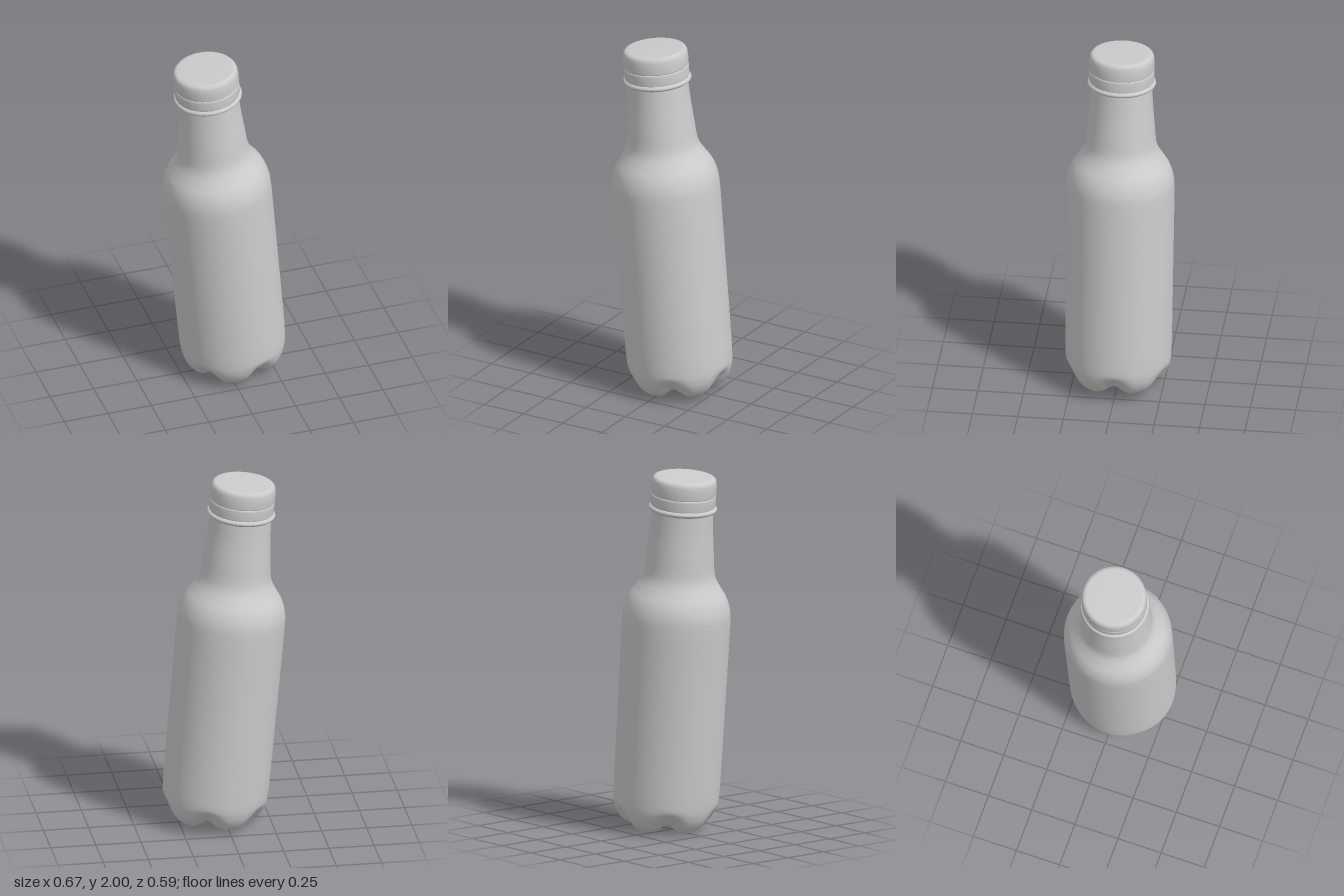
import * as THREE from 'three';
import { mergeVertices } from 'three/addons/utils/BufferGeometryUtils.js';

const SEGMENTS = 100;
const FEET = 5;
const TILT = 0.087;

const toPoints = (profile) => profile.map(([r, y]) => new THREE.Vector2(r, y));

// Sample a smooth curve through a few [radius, height] pairs.
function smoothProfile(profile, samples) {
  const points = new THREE.SplineCurve(toPoints(profile)).getPoints(samples);
  points.forEach((p) => { p.x = Math.max(p.x, 0); });
  return points;
}

// Weld the lathe seam so that normals stay smooth all round.
function weld(geometry) {
  geometry.deleteAttribute('uv');
  geometry.deleteAttribute('normal');
  const welded = mergeVertices(geometry, 1e-5);
  welded.computeVertexNormals();
  return welded;
}

// Press radial grooves into the base, leaving rounded feet between them.
function shapeFeet(geometry) {
  const pos = geometry.attributes.position;
  for (let i = 0; i < pos.count; i++) {
    const x = pos.getX(i), y = pos.getY(i), z = pos.getZ(i);
    if (y > 0.16) continue;
    const r = Math.hypot(x, z);
    const angle = Math.atan2(z, x) - Math.PI;
    const groove = Math.pow(0.5 - 0.5 * Math.cos(FEET * angle), 2);
    const fade = 1 - THREE.MathUtils.smoothstep(y, 0.02, 0.16);
    const reach = THREE.MathUtils.smoothstep(r, 0.03, 0.16);
    const pinch = 1 - 0.07 * groove * fade * reach;
    pos.setXYZ(i, x * pinch, y + 0.045 * groove * fade * reach, z * pinch);
  }
}

export function createModel() {
  const material = new THREE.MeshStandardMaterial({ color: 0xcccccc });
  const bottle = new THREE.Group();
  bottle.name = 'bottle';
  const add = (name, geometry) => {
    const mesh = new THREE.Mesh(weld(geometry), material);
    mesh.name = name;
    bottle.add(mesh);
  };

  // Body, shoulder and neck in one turned skin with a footed base
  const body = new THREE.LatheGeometry(smoothProfile([
    [0, 0.05], [0.05, 0.045], [0.1, 0.022], [0.15, 0.003], [0.185, 0],
    [0.225, 0.014], [0.258, 0.05], [0.28, 0.1], [0.289, 0.17], [0.292, 0.35],
    [0.294, 0.7], [0.296, 1.0], [0.296, 1.17], [0.289, 1.24], [0.268, 1.3],
    [0.233, 1.355], [0.207, 1.4], [0.193, 1.45], [0.183, 1.56],
    [0.173, 1.68], [0.167, 1.8],
  ], 180), SEGMENTS);
  shapeFeet(body);
  add('body', body);

  // Flared ring under the cap
  add('neckRing', new THREE.LatheGeometry(smoothProfile([
    [0.16, 1.782], [0.178, 1.788], [0.187, 1.797], [0.187, 1.806],
    [0.179, 1.815], [0.16, 1.819],
  ], 24), SEGMENTS));

  // Tamper band between the ring and the cap
  add('tamperBand', new THREE.LatheGeometry(toPoints([
    [0.16, 1.81], [0.174, 1.812], [0.178, 1.82], [0.179, 1.87],
    [0.177, 1.879], [0.172, 1.882], [0.16, 1.882],
  ]), SEGMENTS));

  // Screw cap with a rounded top edge
  add('cap', new THREE.LatheGeometry(toPoints([
    [0.16, 1.88], [0.175, 1.881], [0.179, 1.886], [0.179, 1.93],
    [0.177, 1.953], [0.173, 1.966], [0.166, 1.974], [0.157, 1.977],
    [0.15, 1.978], [0.08, 1.979], [0, 1.979],
  ]), SEGMENTS));

  // The whole bottle leans to one side
  bottle.rotation.z = TILT;
  bottle.position.set(0.062, 0.016, 0);
  const model = new THREE.Group();
  model.name = 'leaningBottle';
  model.add(bottle);
  return model;
}
